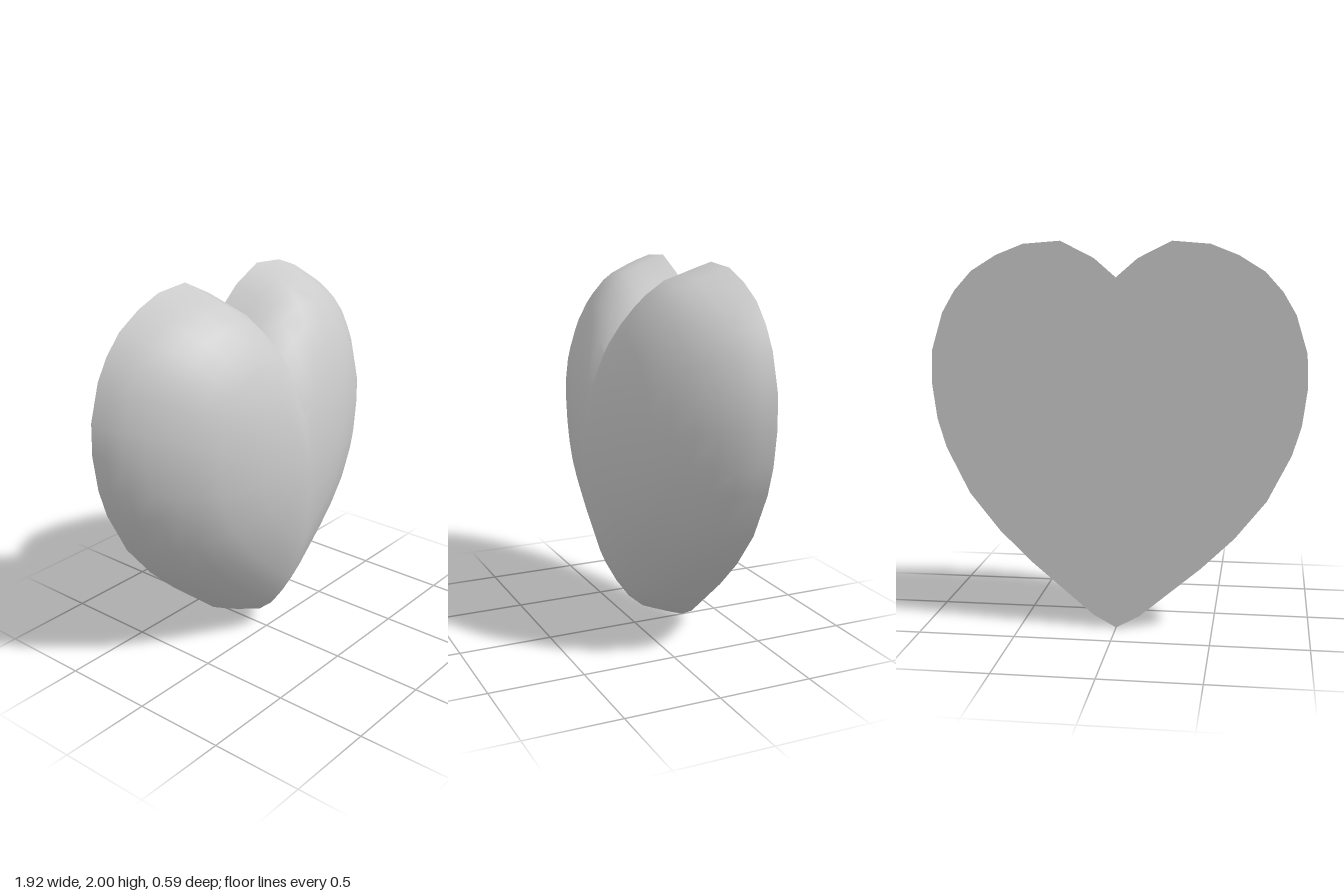
import * as THREE from 'three';
import { toCreasedNormals } from 'three/addons/utils/BufferGeometryUtils.js';

// Right half of the heart outline, from the bottom tip up to the cleft
const half = [
  [0, 0], [0.12, 0.065], [0.28, 0.2], [0.44, 0.335], [0.61, 0.5], [0.77, 0.7],
  [0.89, 0.94], [0.935, 1.09], [0.96, 1.28], [0.953, 1.45], [0.895, 1.64],
  [0.83, 1.75], [0.74, 1.85], [0.61, 1.93], [0.47, 1.985], [0.28, 2], [0.11, 1.915], [0, 1.82],
];
const outline = [...half, ...half.slice(1, -1).reverse().map(([x, y]) => [-x, y])];

// Dome rings: x scale, y scale, depth
const rings = [
  [1, 1, -0.295], [0.984, 0.975, -0.22], [0.943, 0.945, -0.14], [0.88, 0.91, -0.05],
  [0.79, 0.84, 0.035], [0.7, 0.74, 0.11], [0.594, 0.63, 0.173], [0.36, 0.4, 0.25],
  [0.2, 0.22, 0.275], [0, 0, 0.293],
];
const centreY = 1.03;
const backZ = rings[0][2];

// Shrinks the outline ring by ring and joins neighbouring rings
function domeGeometry() {
  const n = outline.length;
  const positions = [];
  const index = [];
  for (const [sx, sy, z] of rings) {
    for (const [x, y] of outline) positions.push(x * sx, centreY + (y - centreY) * sy, z);
  }
  for (let r = 0; r < rings.length - 1; r++) {
    for (let i = 0; i < n; i++) {
      const a = r * n + i;
      const b = r * n + (i + 1) % n;
      index.push(a, b, a + n);
      if (r < rings.length - 2) index.push(b, b + n, a + n);
    }
  }
  const geometry = new THREE.BufferGeometry();
  geometry.setAttribute('position', new THREE.Float32BufferAttribute(positions, 3));
  geometry.setIndex(index);
  return toCreasedNormals(geometry, 0.7);
}

export function createModel() {
  const group = new THREE.Group();
  group.name = 'heart';
  const material = new THREE.MeshStandardMaterial({ color: 0xcccccc });

  // Domed front
  const dome = new THREE.Mesh(domeGeometry(), material);
  dome.name = 'heartDome';
  group.add(dome);

  // Flat back, mirrored in x by its half turn (the outline is symmetric)
  const shape = new THREE.Shape(outline.map(([x, y]) => new THREE.Vector2(x, y)));
  const back = new THREE.Mesh(new THREE.ShapeGeometry(shape), material);
  back.name = 'flatBack';
  back.rotation.y = Math.PI;
  back.position.z = backZ;
  group.add(back);

  return group;
}
